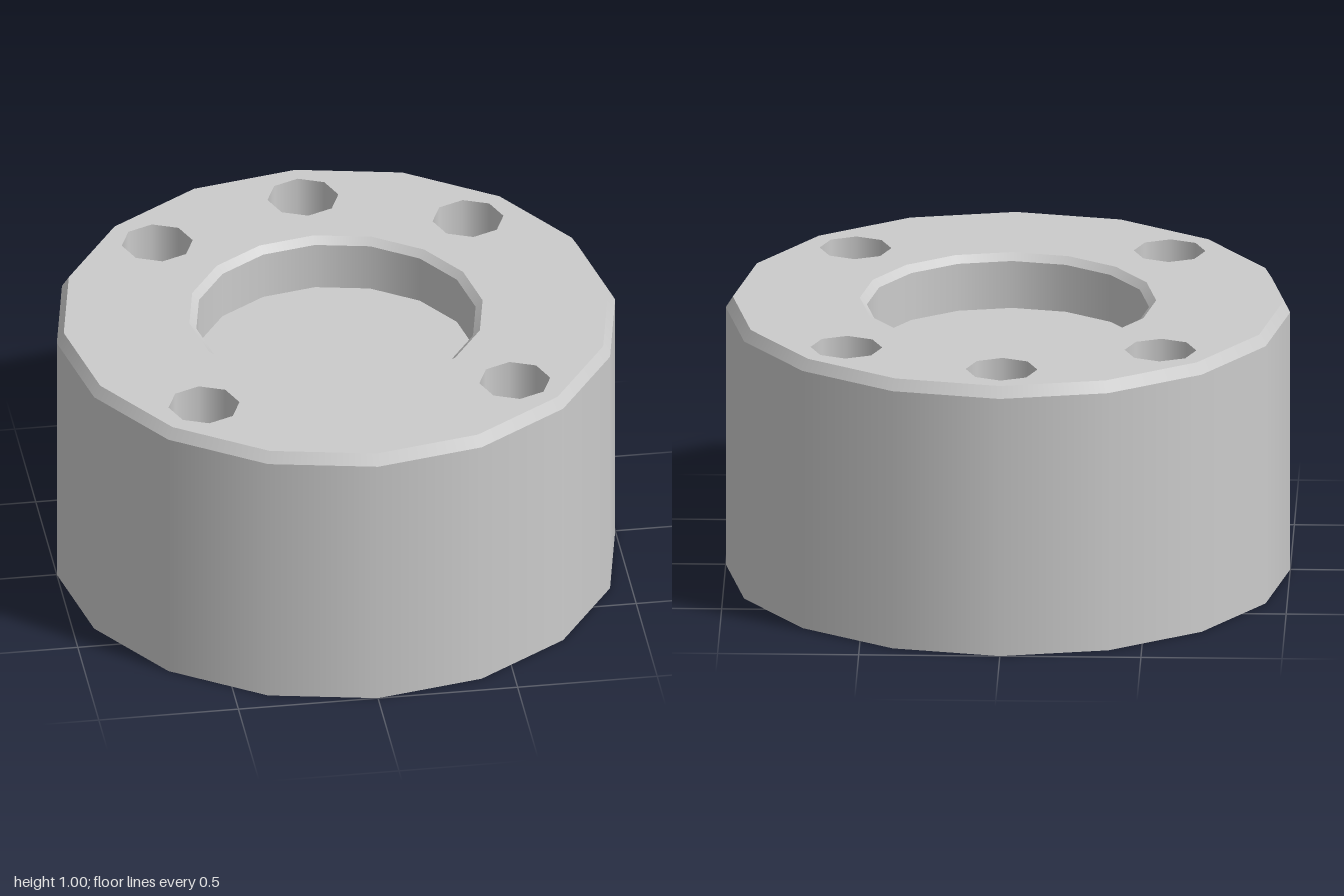
import * as THREE from 'three';
import { mergeGeometries } from 'three/addons/utils/BufferGeometryUtils.js';

const SIDES = 16, HOLE_SIDES = 8;
const OUTER = 1, TOP_OUTER = 0.975, BORE_TOP = 0.525, BORE = 0.5;
const HEIGHT = 1, BORE_FLOOR = 0.8;
const HOLE_R = 0.127, HOLE_RING = 0.787, HOLE_FLOOR = 0.8;

// Revolves each profile segment separately: smooth around, sharp between bands
function revolve(profile, sides) {
  const bands = [];
  for (let i = 0; i < profile.length - 1; i++) {
    const pair = [profile[i], profile[i + 1]].map(([r, y]) => new THREE.Vector2(r, y));
    bands.push(new THREE.LatheGeometry(pair, sides));
  }
  return mergeGeometries(bands);
}

function polygon(radius, sides, cx = 0, cy = 0) {
  return Array.from({ length: sides }, (_, i) => {
    const a = (i / sides) * Math.PI * 2;
    return new THREE.Vector2(cx + radius * Math.cos(a), cy + radius * Math.sin(a));
  });
}

export function createModel() {
  const group = new THREE.Group();
  group.name = 'roundBlock';
  const material = new THREE.MeshStandardMaterial({ color: 0xcccccc });
  const add = (name, geometry) => {
    const mesh = new THREE.Mesh(geometry, material);
    mesh.name = name;
    group.add(mesh);
    return mesh;
  };

  // Underside, outer wall and bevelled top edge
  add('body', revolve([[0, 0], [OUTER, 0], [OUTER, 0.96], [TOP_OUTER, HEIGHT]], SIDES));

  // Central recess with bevelled rim and flat floor
  add('centralRecess', revolve(
    [[BORE_TOP, HEIGHT], [BORE, HEIGHT - 0.025], [BORE, BORE_FLOOR], [0, BORE_FLOOR]], SIDES));

  // Small sockets: one at the back, two at each side
  const centres = [45, 90, 135, 225, 315].map((deg) => {
    const a = THREE.MathUtils.degToRad(deg);
    return [HOLE_RING * Math.cos(a), HOLE_RING * Math.sin(a)];
  });
  const socket = revolve([[HOLE_R, HEIGHT], [HOLE_R, HOLE_FLOOR], [0, HOLE_FLOOR]], HOLE_SIDES);
  centres.forEach(([x, y], i) => add(`socket${i + 1}`, socket).position.set(x, 0, -y));

  // Top face, pierced by the recess and the sockets
  const face = new THREE.Shape(polygon(TOP_OUTER, SIDES));
  face.holes.push(new THREE.Path(polygon(BORE_TOP, SIDES)));
  for (const [x, y] of centres) face.holes.push(new THREE.Path(polygon(HOLE_R, HOLE_SIDES, x, y)));
  add('topFace', new THREE.ShapeGeometry(face).rotateX(-Math.PI / 2).translate(0, HEIGHT, 0));

  return group;
}
